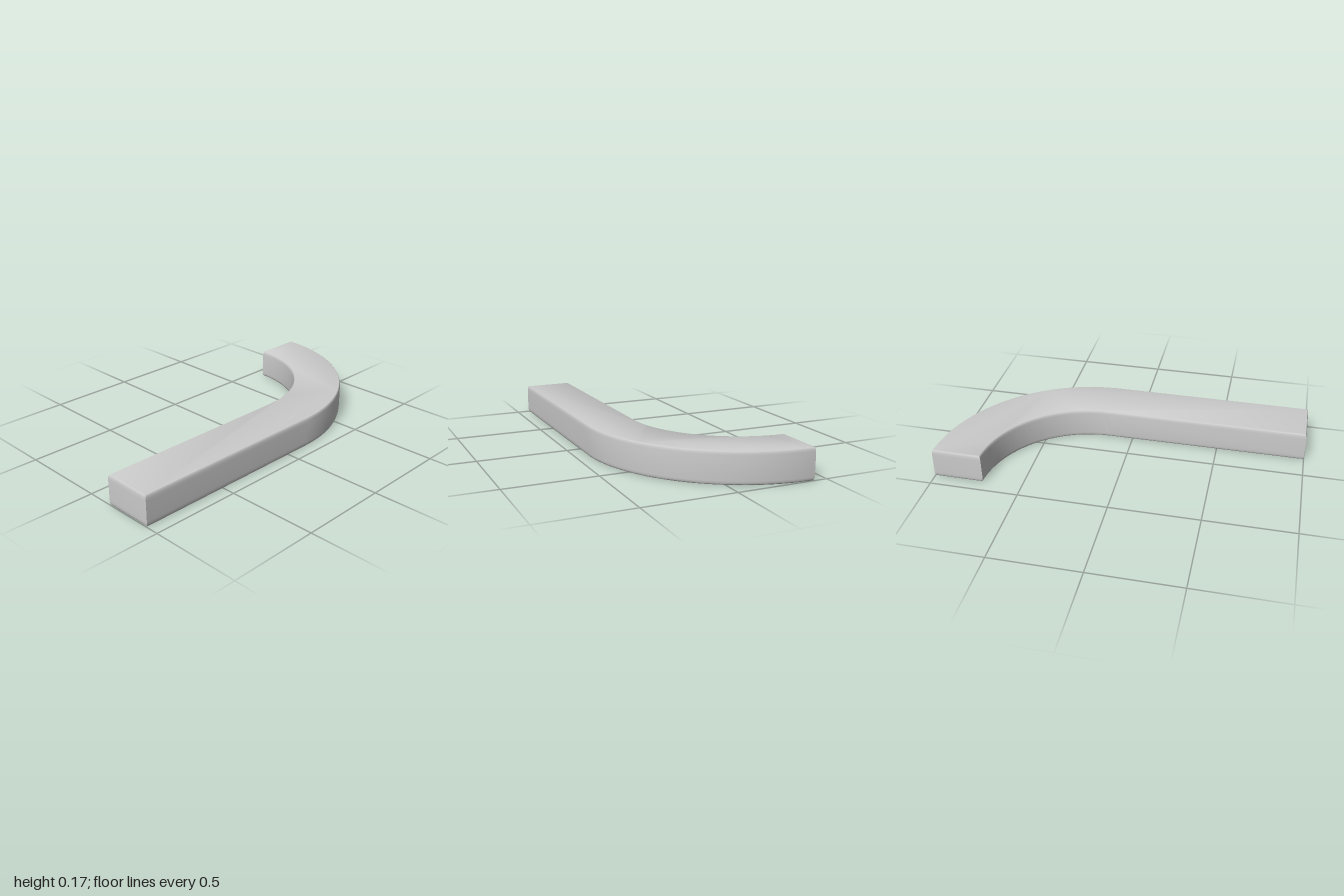
import * as THREE from 'three';
import { toCreasedNormals } from 'three/addons/utils/BufferGeometryUtils.js';

const HEIGHT = 0.17, BEVEL_HEIGHT = 0.03, BEVEL_INSET = 0.007;

export function createModel() {
  const group = new THREE.Group();
  group.name = 'curvedBar';

  // Plan outline: straight run into a quarter bend about (0.14, 0.43), plan y = -z
  const plan = new THREE.Shape();
  plan.moveTo(-1, -0.15);
  plan.lineTo(-1, -0.43);
  plan.absarc(0.14, 0.43, 0.86, -Math.PI / 2, 0, false);
  plan.absarc(0.14, 0.43, 0.58, 0, -Math.PI / 2, true);
  plan.closePath();

  // Extrude upwards with tall, shallow rounded edges at top and bottom
  const extruded = new THREE.ExtrudeGeometry(plan, {
    depth: HEIGHT - 2 * BEVEL_HEIGHT,
    curveSegments: 48,
    bevelEnabled: true,
    bevelThickness: BEVEL_HEIGHT,
    bevelSize: BEVEL_INSET,
    bevelOffset: -BEVEL_INSET,
    bevelSegments: 5,
  });
  extruded.rotateX(-Math.PI / 2);
  extruded.translate(0, BEVEL_HEIGHT, 0);

  const bar = new THREE.Mesh(
    toCreasedNormals(extruded, 0.6),
    new THREE.MeshStandardMaterial({ color: 0xcccccc }),
  );
  bar.name = 'bar';
  group.add(bar);
  return group;
}
